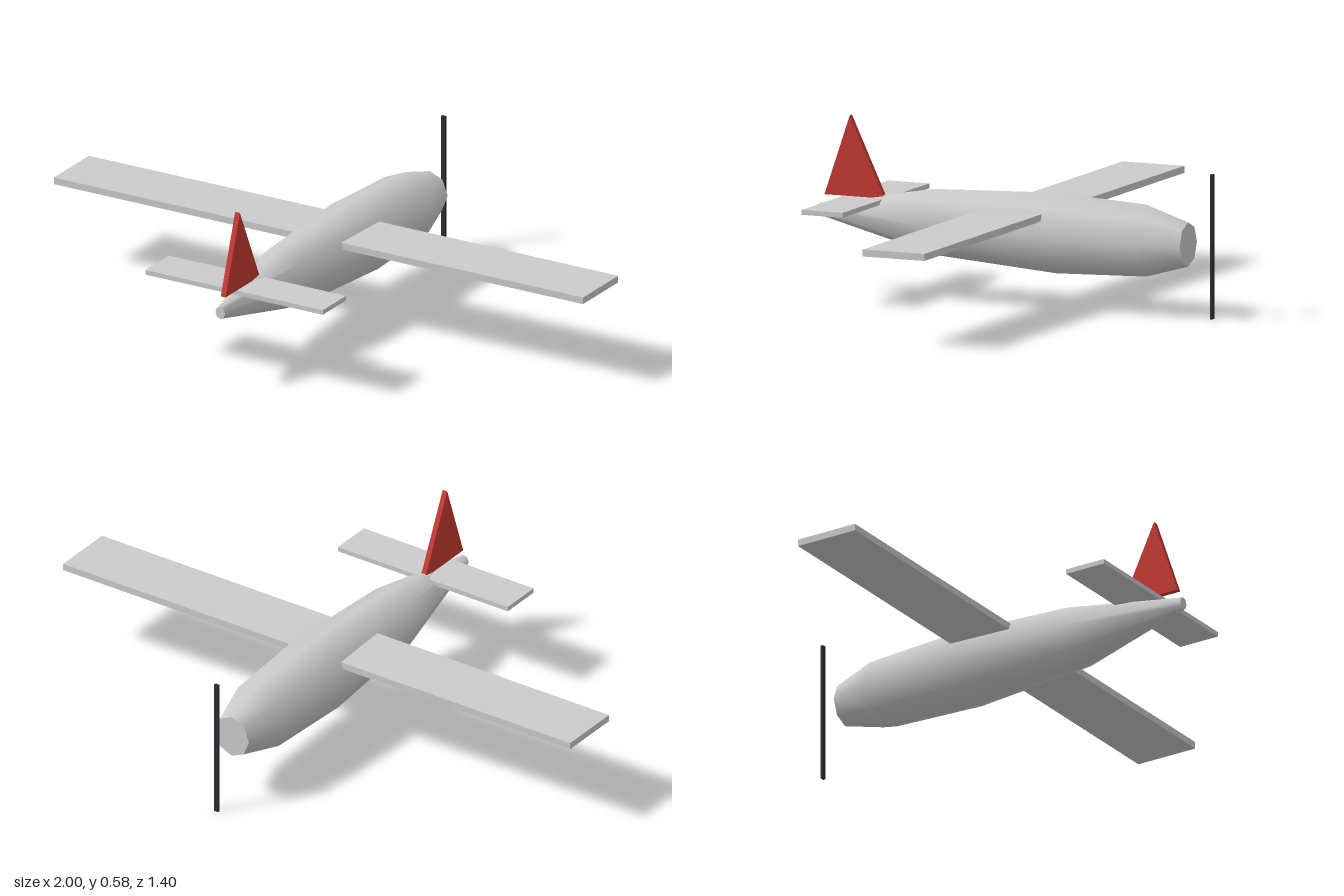
import * as THREE from 'three';

const grey = new THREE.MeshStandardMaterial({ color: 0xcccccc });
const red = new THREE.MeshStandardMaterial({ color: 0xc63a34 });
const dark = new THREE.MeshStandardMaterial({ color: 0x2a2d33 });

// Box given by its centre and size
function box(name, size, position, material) {
  const mesh = new THREE.Mesh(new THREE.BoxGeometry(...size), material);
  mesh.name = name;
  mesh.position.set(...position);
  return mesh;
}

// Fuselage sections from nose to tail: z, centre height, half width, half height
const SECTIONS = [
  [-0.61, 0.238, 0.067, 0.0725],
  [-0.46, 0.241, 0.113, 0.118],
  [-0.14, 0.2445, 0.127, 0.132],
  [0.295, 0.252, 0.102, 0.108],
  [0.70, 0.2685, 0.018, 0.021],
];
const SIDES = 8;

function ring([z, y, halfWidth, halfHeight]) {
  return Array.from({ length: SIDES }, (_, i) => {
    const a = (i / SIDES) * Math.PI * 2;
    return new THREE.Vector3(Math.cos(a) * halfWidth, y + Math.sin(a) * halfHeight, z);
  });
}

function buildGeometry(points, index) {
  const geometry = new THREE.BufferGeometry().setFromPoints(points);
  geometry.setIndex(index);
  geometry.computeVertexNormals();
  return geometry;
}

// Smooth skin lofted through the sections
function fuselageSkin() {
  const index = [];
  for (let s = 0; s < SECTIONS.length - 1; s++) {
    for (let i = 0; i < SIDES; i++) {
      const j = (i + 1) % SIDES;
      const a = s * SIDES + i, b = s * SIDES + j;
      index.push(a, b, b + SIDES, a, b + SIDES, a + SIDES);
    }
  }
  return buildGeometry(SECTIONS.flatMap(ring), index);
}

// Flat end cap, facing +z or -z
function cap(section, facesBack) {
  const index = [];
  for (let i = 1; i < SIDES - 1; i++) {
    index.push(0, ...(facesBack ? [i, i + 1] : [i + 1, i]));
  }
  return buildGeometry(ring(section), index);
}

export function createModel() {
  const model = new THREE.Group();
  model.name = 'airplane';

  // Fuselage
  const fuselage = new THREE.Group();
  fuselage.name = 'fuselage';
  const parts = {
    fuselageSkin: fuselageSkin(),
    noseCap: cap(SECTIONS[0], false),
    tailCap: cap(SECTIONS[SECTIONS.length - 1], true),
  };
  for (const [name, geometry] of Object.entries(parts)) {
    const mesh = new THREE.Mesh(geometry, grey);
    mesh.name = name;
    fuselage.add(mesh);
  }
  model.add(fuselage);

  // Main wing and tailplane
  model.add(box('wing', [2, 0.023, 0.22], [0, 0.308, -0.023], grey));
  model.add(box('tailplane', [0.67, 0.016, 0.146], [0, 0.31, 0.54], grey));

  // Triangular tail fin, drawn in profile (z, y) and extruded across x
  const profile = new THREE.Shape([
    new THREE.Vector2(-0.682, 0.318),
    new THREE.Vector2(-0.468, 0.318),
    new THREE.Vector2(-0.592, 0.582),
  ]);
  const finGeometry = new THREE.ExtrudeGeometry(profile, { depth: 0.018, bevelEnabled: false });
  finGeometry.translate(0, 0, -0.009).rotateY(Math.PI / 2);
  const fin = new THREE.Mesh(finGeometry, red);
  fin.name = 'tailFin';
  model.add(fin);

  // Propeller blade
  model.add(box('propeller', [0.016, 0.473, 0.009], [0, 0.2365, -0.6955], dark));

  return model;
}
